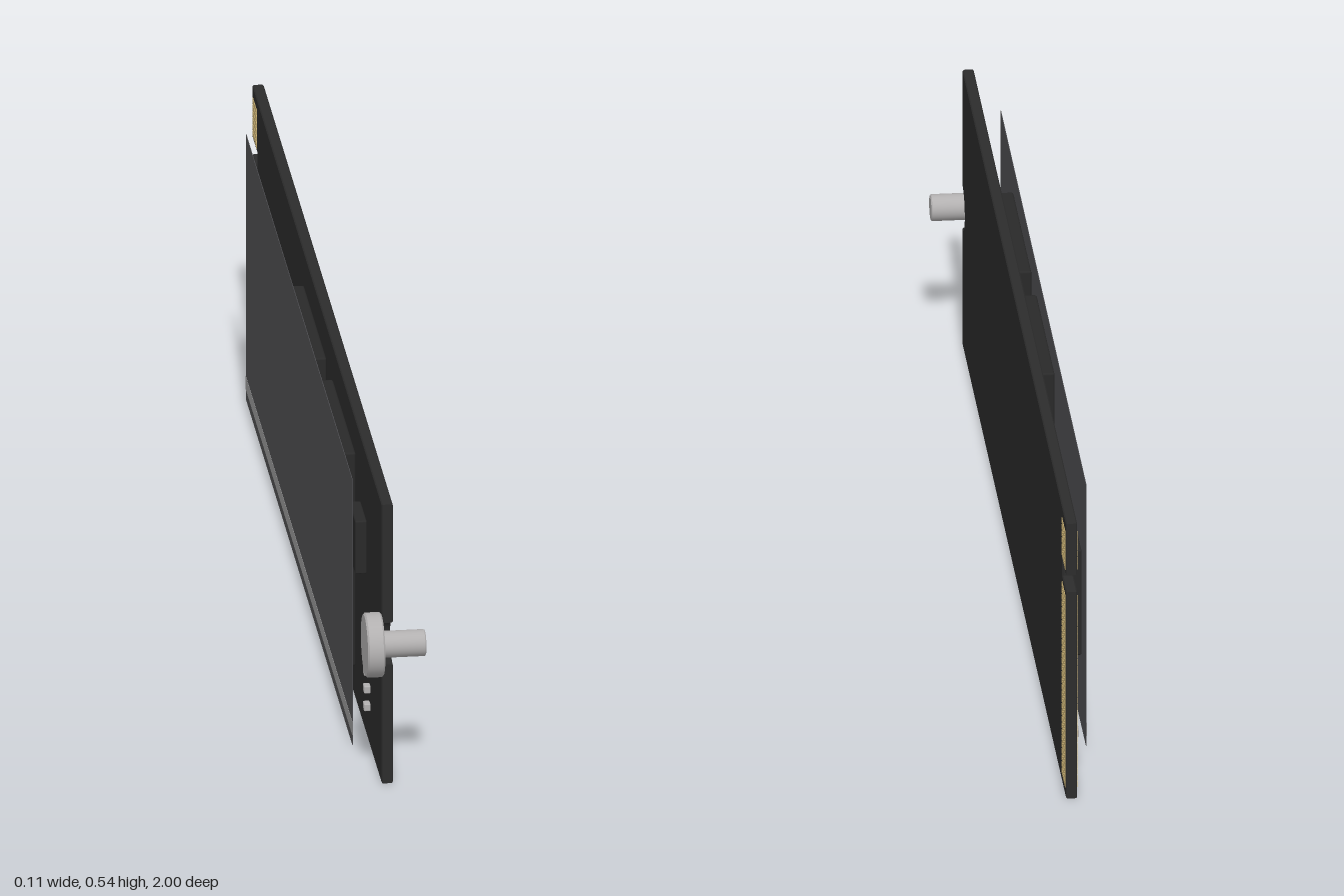
import * as THREE from 'three';
import { RoundedBoxGeometry } from 'three/addons/geometries/RoundedBoxGeometry.js';

const mat = (name, color) => new THREE.MeshStandardMaterial({ name, color });

export function createModel() {
  const root = new THREE.Group();
  root.name = 'storageCard';
  const boardBlack = mat('boardBlack', 0x2c2c2c);
  const chipBlack = mat('chipBlack', 0x292929);
  const labelGrey = mat('labelGrey', 0x515154);
  const stripeGrey = mat('stripeGrey', 0x9c9c9c);
  const gold = mat('gold', 0xd2b878);
  const silver = mat('silver', 0xb2b0b0);

  const add = (name, geometry, material, parent = root) => {
    const mesh = new THREE.Mesh(geometry, material);
    mesh.name = name;
    parent.add(mesh);
    return mesh;
  };
  // box given by its limits on each axis, optionally with rounded edges
  const block = (name, material, [x0, x1], [y0, y1], [z0, z1], r = 0, parent = root) => {
    const size = [x1 - x0, y1 - y0, z1 - z0];
    const geo = r ? new RoundedBoxGeometry(...size, 2, r) : new THREE.BoxGeometry(...size);
    const mesh = add(name, geo, material, parent);
    mesh.position.set((x0 + x1) / 2, (y0 + y1) / 2, (z0 + z1) / 2);
    return mesh;
  };

  const faceR = -0.002, faceL = -0.022, H = 0.535, midY = 0.268;

  // circuit board: outline in (z, y) with key slot and screw notch
  const b = 0.002;
  const outline = new THREE.Shape();
  outline.moveTo(-1 + b, b);
  outline.lineTo(0.94 - b, b);
  outline.lineTo(0.94 - b, midY - 0.042);
  outline.absarc(0.94 - b, midY, 0.042, -Math.PI / 2, -Math.PI * 1.5, true);
  outline.lineTo(0.94 - b, H - b);
  outline.lineTo(-1 + b, H - b);
  outline.lineTo(-1 + b, 0.435 + b);
  outline.lineTo(-0.925 - b, 0.435 + b);
  outline.lineTo(-0.925 - b, 0.402 - b);
  outline.lineTo(-1 + b, 0.402 - b);
  outline.closePath();
  const boardGeo = new THREE.ExtrudeGeometry(outline, {
    depth: faceR - faceL - 2 * b, bevelEnabled: true, bevelSize: b, bevelThickness: b,
    bevelSegments: 1, curveSegments: 20,
  });
  boardGeo.rotateY(-Math.PI / 2);
  boardGeo.translate(faceR - b, 0, 0);
  add('circuitBoard', boardGeo, boardBlack);

  // gold edge contacts on both faces, either side of the key slot
  const contacts = new THREE.Group();
  contacts.name = 'edgeContacts';
  root.add(contacts);
  const pitch = 0.0125, pad = 0.0102;
  for (const [start, count] of [[0.018, 30], [0.442, 6]]) {
    for (let i = 0; i < count; i++) {
      const y = start + i * pitch;
      for (const x of [faceL, faceR]) {
        block('contact', gold, [x - 0.001, x + 0.001], [y, y + pad], [-0.992, -0.928], 0, contacts);
      }
    }
  }

  // chips under the label
  block('controllerChip', chipBlack, [-0.050, faceL], [0.18, 0.385], [-0.787, -0.59], 0.003);
  block('cacheChip', chipBlack, [-0.046, faceL], [0.15, 0.39], [-0.52, -0.325], 0.003);
  block('memoryChip', chipBlack, [-0.0555, faceL], [0.063, 0.473], [-0.225, 0.112], 0.004);
  block('memoryChip', chipBlack, [-0.0555, faceL], [0.063, 0.473], [0.21, 0.55], 0.004);
  block('powerChip', chipBlack, [-0.043, faceL], [0.31, 0.412], [0.625, 0.718], 0.003);

  // small capacitors: a row along the board, and a row across it
  for (let i = 0; i < 4; i++) {
    const z = -0.9 + i * 0.04;
    block('capacitor', silver, [-0.034, faceL], [0.077, 0.092], [z - 0.01, z + 0.01], 0.002);
  }
  for (let i = 0; i < 5; i++) {
    const y = 0.077 + i * 0.034;
    block('capacitor', silver, [-0.034, faceL], [y - 0.007, y + 0.007], [0.757, 0.775], 0.002);
  }

  // label sheet with a lighter stripe
  block('label', labelGrey, [-0.0565, -0.0555], [0.013, 0.522], [-0.81, 0.79]);
  block('labelStripe', stripeGrey, [-0.057, -0.0563], [0.033, 0.058], [-0.81, 0.79]);

  // mounting screw: head and shaft lathed about the x axis
  const lathe = (name, points) => {
    const pts = points.map(([r, x]) => new THREE.Vector2(r, x));
    // doubled corner points keep the edges crisp
    const sharp = pts.flatMap((p, i) => (i && i < pts.length - 1 ? [p, p.clone()] : [p]));
    const geo = new THREE.LatheGeometry(sharp, 40);
    geo.rotateZ(-Math.PI / 2);
    add(name, geo, silver, screw);
  };
  const screw = new THREE.Group();
  screw.name = 'mountingScrew';
  screw.position.set(0, midY, 0.942);
  root.add(screw);
  lathe('screwHead', [[0, -0.053], [0.055, -0.053], [0.058, -0.05], [0.058, -0.025], [0.055, -0.022], [0, -0.022]]);
  lathe('screwShaft', [[0, -0.024], [0.024, -0.024], [0.024, 0.053], [0.022, 0.055], [0, 0.055]]);

  return root;
}
